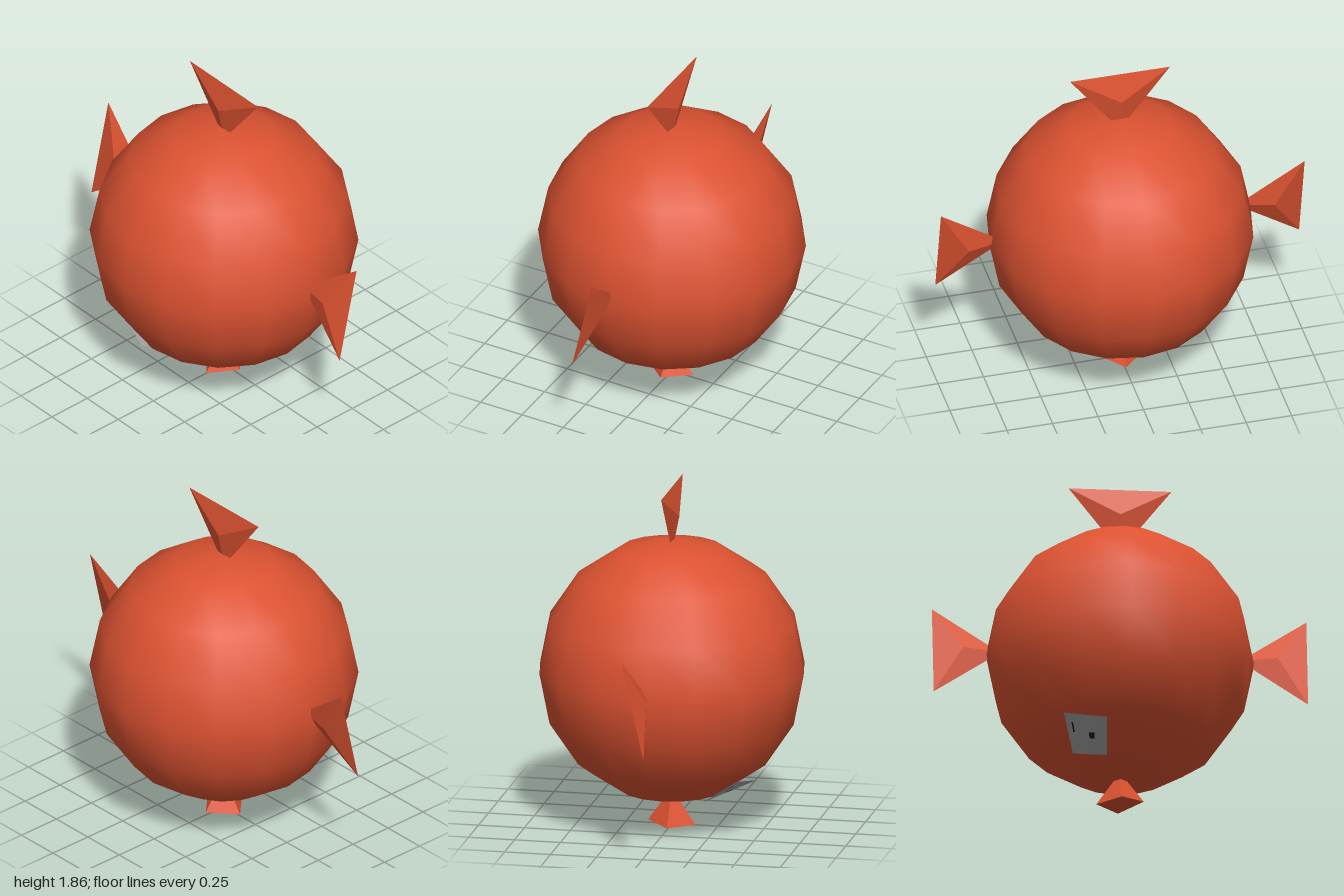
import * as THREE from 'three';
import { ConvexGeometry } from 'three/addons/geometries/ConvexGeometry.js';

const V = (x, y, z) => new THREE.Vector3(x, y, z);

export function createModel() {
  const group = new THREE.Group();
  const red = new THREE.MeshStandardMaterial({ color: 0xdc5231 });
  red.name = 'orange red';
  const grey = new THREE.MeshStandardMaterial({ color: 0xaaaaaa, side: THREE.DoubleSide });
  grey.name = 'tag grey';
  const black = new THREE.MeshStandardMaterial({ color: 0x1a1a1a, side: THREE.DoubleSide });
  black.name = 'mark black';

  const add = (name, geometry, material) => {
    const mesh = new THREE.Mesh(geometry, material);
    mesh.name = name;
    group.add(mesh);
    return mesh;
  };

  // Round body
  add('body', new THREE.SphereGeometry(0.717, 16, 8), red).position.y = 0.86;

  // Fin: a wide edge tapering to a point, thickest in the middle
  const fin = () => new ConvexGeometry([
    V(0, 0, 0), V(-0.275, 0.36, 0), V(0.275, 0.36, 0), V(0, 0.2, -0.04), V(0, 0.2, 0.04),
  ]);
  add('topFin', fin(), red).position.y = 1.5;

  // Side fins, both leaning back at the top
  for (const side of [1, -1]) {
    const mesh = add(side > 0 ? 'leftFin' : 'rightFin', fin().rotateZ(-side * Math.PI / 2), red);
    mesh.position.set(side * 0.64, 0.88, 0);
    mesh.rotation.x = -0.22;
  }

  // Slightly crooked four-sided knot below the body
  add('knot', new ConvexGeometry([
    V(0, 0.2, 0), V(0.127, 0.035, 0), V(-0.127, 0.01, 0), V(0, 0.003, 0.127), V(0, 0.02, -0.13),
  ]), red);

  // Tag: patch stretched between four corners
  const corners = [V(-0.335, 0.345, 0.42), V(-0.11, 0.3, 0.485), V(-0.27, 0.2, 0.22), V(-0.09, 0.185, 0.25)];
  const normal = V(-0.25, -0.88, 0.41).normalize();
  const patch = (u0, u1, v0, v1, lift) => {
    const g = new THREE.PlaneGeometry(1, 1, 4, 4);
    const p = g.attributes.position;
    for (let i = 0; i < p.count; i++) {
      const u = u0 + (u1 - u0) * (p.getX(i) + 0.5);
      const v = v0 + (v1 - v0) * (0.5 - p.getY(i));
      const a = corners[0].clone().lerp(corners[1], u);
      const b = corners[2].clone().lerp(corners[3], u);
      a.lerp(b, v).addScaledVector(normal, lift);
      p.setXYZ(i, a.x, a.y, a.z);
    }
    g.computeVertexNormals();
    return g;
  };
  add('tag', patch(0, 1, 0, 1, 0), grey);

  // Small marks on the tag
  add('tagMarkCentre', patch(0.54, 0.68, 0.43, 0.58, 0.004), black);
  add('tagMarkSide', patch(0.14, 0.18, 0.2, 0.45, 0.004), black);

  return group;
}
